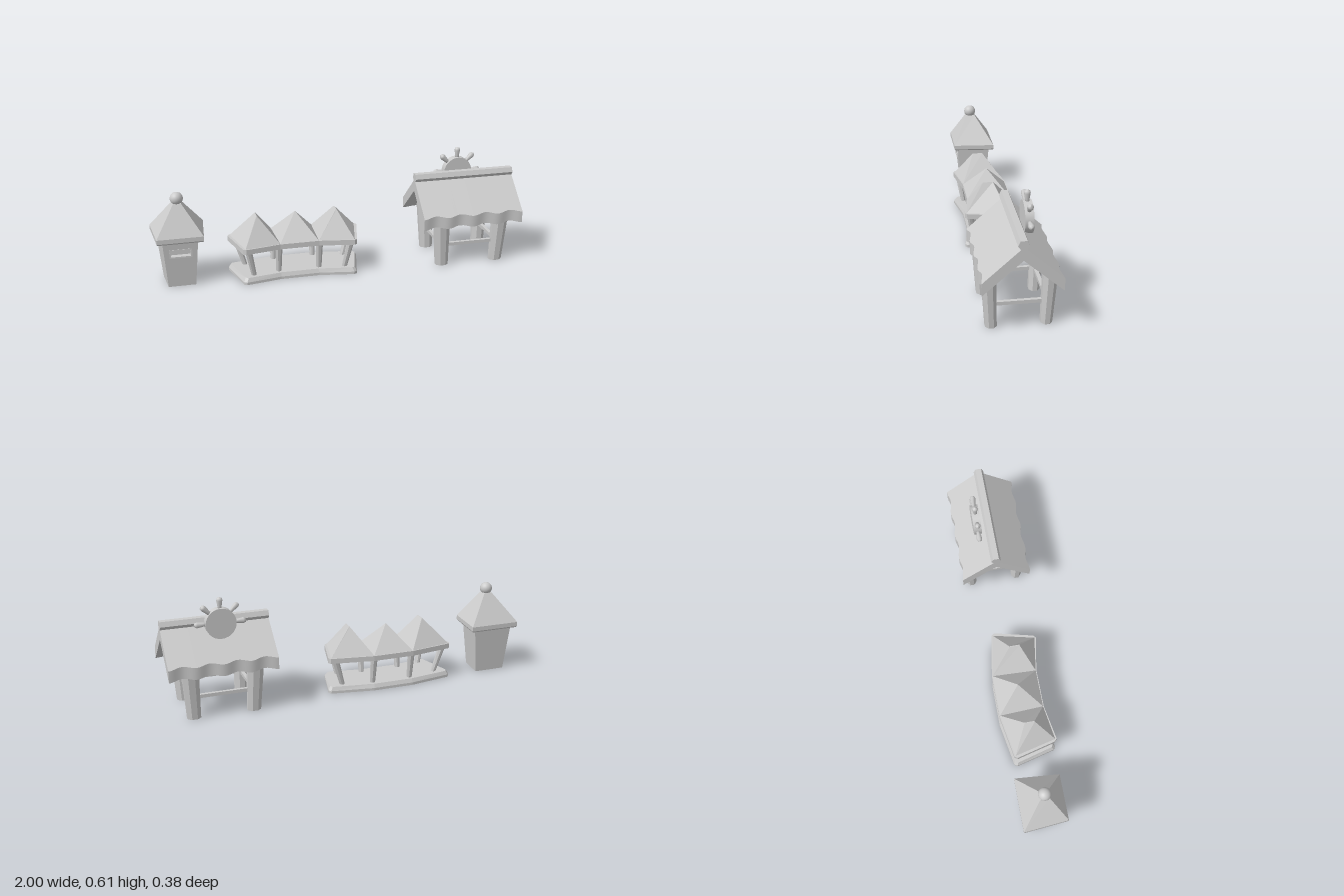
import * as THREE from 'three';
import { toCreasedNormals } from 'three/addons/utils/BufferGeometryUtils.js';

const grey = new THREE.MeshStandardMaterial({ color: 0xcccccc });
const flat = new THREE.MeshStandardMaterial({ color: 0xcccccc, flatShading: true });
const flatDouble = new THREE.MeshStandardMaterial({ color: 0xcccccc, flatShading: true, side: THREE.DoubleSide });
const V = (x, y, z) => new THREE.Vector3(x, y, z);

function add(parent, name, geometry, material = flat) {
  const mesh = new THREE.Mesh(geometry, material);
  mesh.name = name;
  parent.add(mesh);
  return mesh;
}

function fromTriangles(points) {
  const g = new THREE.BufferGeometry().setFromPoints(points);
  g.computeVertexNormals();
  return g;
}

// Joins rings (anticlockwise from above, lowest first); skipped sides stay open
function loft(rings, { top = true, bottom = true, skip = -1 } = {}) {
  const tris = [];
  const n = rings[0].length;
  for (let r = 0; r + 1 < rings.length; r++) {
    const a = rings[r], b = rings[r + 1];
    for (let i = 0; i < n; i++) {
      if (i === skip) continue;
      const j = (i + 1) % n;
      tris.push(a[i], a[j], b[j], a[i], b[j], b[i]);
    }
  }
  const cap = (ring, up) => {
    const flatRing = ring.map(p => new THREE.Vector2(p.x, -p.z));
    for (const [i, j, k] of THREE.ShapeUtils.triangulateShape(flatRing, []))
      tris.push(ring[i], ring[up ? j : k], ring[up ? k : j]);
  };
  if (bottom) cap(rings[0], false);
  if (top) cap(rings[rings.length - 1], true);
  return fromTriangles(tris);
}

// Tapered pole between two points
function pole(parent, name, from, to, r0, r1, sides = 8, widen = 1) {
  const circle = (c, r) => Array.from({ length: sides }, (_, i) => {
    const a = (i + 0.5) / sides * Math.PI * 2;
    return V(c.x + widen * r * Math.cos(a), c.y, c.z - r * Math.sin(a));
  });
  return add(parent, name, loft([circle(from, r0), circle(to, r1)]));
}

// Booth: tapered body with a recessed slot, pyramid roof and ball
function makeBooth() {
  const booth = new THREE.Group();
  booth.name = 'booth';
  const ring = (y, front, back, zf, zb) =>
    [V(-front, y, zf), V(front, y, zf), V(back, y, zb), V(-back, y, zb)];
  const h = 0.26;
  add(booth, 'boothBody', loft([ring(0, 0.072, 0.087, 0.075, -0.07), ring(h, 0.092, 0.113, 0.1, -0.09)], { skip: 0 }));

  const panel = new THREE.Shape([[-0.072, 0], [0.072, 0], [0.092, h], [-0.092, h]].map(p => new THREE.Vector2(...p)));
  panel.holes.push(new THREE.Path([[-0.056, 0.168], [-0.056, 0.215], [0.056, 0.215], [0.056, 0.168]].map(p => new THREE.Vector2(...p))));
  const front = new THREE.ShapeGeometry(panel);
  const pos = front.attributes.position;
  for (let i = 0; i < pos.count; i++) pos.setZ(i, 0.075 + 0.025 * pos.getY(i) / h);
  add(booth, 'boothFront', front);
  // Slot: four walls and a back plate
  for (const s of [-1, 1]) {
    add(booth, 'slotSide', new THREE.BoxGeometry(0.008, 0.047, 0.036)).position.set(s * 0.055, 0.1915, 0.08);
    add(booth, 'slotEdge', new THREE.BoxGeometry(0.11, 0.008, 0.036)).position.set(0, 0.1915 + s * 0.02, 0.08);
  }
  add(booth, 'slotBack', new THREE.BoxGeometry(0.11, 0.047, 0.005)).position.set(0, 0.1915, 0.065);

  const eave = y => ring(y, 0.121, 0.141, 0.122, -0.115);
  add(booth, 'boothRoof', loft([ring(0.255, 0.117, 0.137, 0.118, -0.111), eave(0.262), eave(0.286), ring(0.445, 0.02, 0.023, 0.035, -0.014)]));
  add(booth, 'roofBall', new THREE.SphereGeometry(0.034, 20, 14), grey).position.set(0, 0.467, 0.013);
  booth.position.x = -0.859;
  return booth;
}

// Stall: bent base and eave, eight posts, three pointed roofs
function makeStall() {
  const stall = new THREE.Group();
  stall.name = 'stall';
  const half = [[0.105, 0.12], [0.292, 0.153], [0.307, 0.143], [0.36, -0.07], [0.35, -0.087], [0.115, -0.127]];
  const outline = [...half, ...half.map(([x, z]) => [-x, z]).reverse()];
  const ring = (y, s = 1) => outline.map(([x, z]) => V(x * (1 - (1 - s) * 0.4), y, z * s));
  add(stall, 'stallBase', loft([ring(0), ring(0.014), ring(0.035, 0.92)]));

  const toPoints = s => outline.map(([x, z]) => new THREE.Vector2(x * (1 - (1 - s) * 0.4), -z * s));
  const band = new THREE.Shape(toPoints(1));
  band.holes.push(new THREE.Path(toPoints(0.86)));
  const bandGeometry = new THREE.ExtrudeGeometry(band, { depth: 0.028, bevelEnabled: false });
  bandGeometry.rotateX(-Math.PI / 2).translate(0, 0.172, 0);
  add(stall, 'stallEave', bandGeometry);

  const y = 0.2;
  const sideBase = m => [V(m * 0.104, y, 0.116), V(m * 0.294, y, 0.145), V(m * 0.347, y, -0.08), V(m * 0.114, y, -0.122)];
  for (const m of [1, -1]) {
    const base = sideBase(m);
    const x = m * 0.216;
    const ridge = [V(x - m * 0.002, 0.342, 0.045), V(x + m * 0.002, 0.342, 0.045), V(x + m * 0.002, 0.342, -0.01), V(x - m * 0.002, 0.342, -0.01)];
    const rings = m > 0 ? [base, ridge] : [base.reverse(), ridge.reverse()];
    add(stall, 'sideRoof', loft(rings, { bottom: false }), flatDouble);
  }
  const mid = [V(-0.104, y, 0.116), V(0.104, y, 0.116), V(0.114, y, -0.122), V(-0.114, y, -0.122)];
  const tip = V(0, 0.335, -0.004);
  add(stall, 'middleRoof', fromTriangles(mid.flatMap((p, i) => [p, mid[(i + 1) % 4], tip])), flatDouble);

  // Posts lean outward: bottom x, z then top x, z
  const posts = [[0.245, 0.1, 0.278, 0.125], [0.27, -0.05, 0.32, -0.066], [0.11, 0.08, 0.11, 0.1], [0.11, -0.085, 0.11, -0.108]];
  for (const [bx, bz, tx, tz] of posts)
    for (const m of [-1, 1])
      pole(stall, 'stallPost', V(m * bx, 0.02, bz), V(m * tx, 0.19, tz), 0.014, 0.02);
  stall.position.x = -0.235;
  return stall;
}

// Hut: scalloped gable roof, four stout legs, rails and a ship's wheel
function makeHut() {
  const hut = new THREE.Group();
  hut.name = 'hut';
  const side = [[0.19, 0.227], [0.19, 0.29], [0.014, 0.447], [0.027, 0.465], [0.016, 0.49]];
  const profile = [[0, 0.393], ...side, ...side.map(([z, y]) => [-z, y]).reverse()];
  const length = 0.566;
  let roof = new THREE.ExtrudeGeometry(new THREE.Shape(profile.map(p => new THREE.Vector2(...p))), { depth: length, steps: 48, bevelEnabled: false });
  roof.rotateY(Math.PI / 2).translate(-length / 2, 0, 0);
  const pos = roof.attributes.position;
  for (let i = 0; i < pos.count; i++) {
    const z = pos.getZ(i);
    if (Math.abs(z) < 0.1) continue;
    const w = 0.006 * (1 - Math.cos((pos.getX(i) / length + 0.5) * Math.PI * 8));
    pos.setZ(i, z - Math.sign(z) * w);
    pos.setY(i, pos.getY(i) + w * 0.88);
  }
  roof = toCreasedNormals(roof, 0.5);
  add(hut, 'hutRoof', roof, grey);

  for (const sx of [-1, 1])
    for (const sz of [-1, 1])
      pole(hut, 'hutLeg', V(sx * 0.158, 0, sz * 0.132), V(sx * 0.17, 0.285, sz * 0.145), 0.03, 0.038, 8, 1.25);
  for (const s of [-1, 1]) {
    add(hut, 'longRail', new THREE.BoxGeometry(0.29, 0.018, 0.018)).position.set(0, 0.116, s * 0.135);
    add(hut, 'shortRail', new THREE.BoxGeometry(0.018, 0.018, 0.25)).position.set(s * 0.16, 0.116, 0);
  }

  const wheel = new THREE.Group();
  wheel.name = 'wheel';
  const disc = new THREE.CylinderGeometry(0.08, 0.08, 0.043, 28).rotateX(Math.PI / 2);
  add(wheel, 'wheelDisc', disc, grey);
  const handle = new THREE.LatheGeometry([[0, 0.07], [0.011, 0.07], [0.011, 0.088], [0.016, 0.118], [0.013, 0.13], [0, 0.136]].map(p => new THREE.Vector2(...p)), 8);
  for (let i = 0; i < 5; i++)
    add(wheel, 'wheelHandle', handle, grey).rotation.z = (i - 2) * Math.PI / 4;
  wheel.position.set(-0.015, 0.469, -0.066);
  hut.add(wheel);
  hut.position.x = 0.717;
  return hut;
}

export function createModel() {
  const model = new THREE.Group();
  model.name = 'villageBuildings';
  model.add(makeBooth(), makeStall(), makeHut());
  return model;
}
